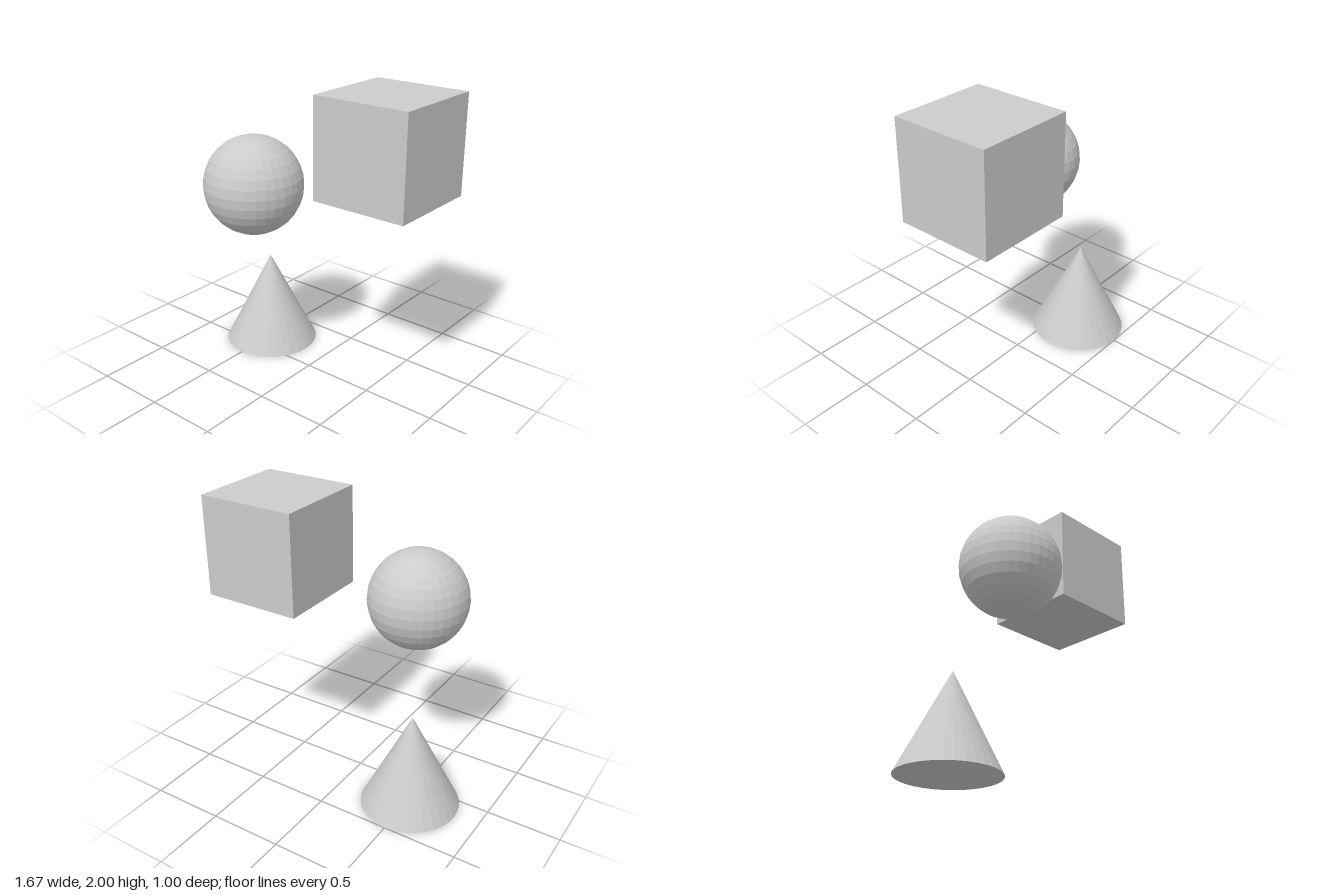
import * as THREE from 'three';

// Half-extent shared by all three solids
const R = 1 / 3;

export function createModel() {
  const group = new THREE.Group();
  group.name = 'primitiveSolids';
  const material = new THREE.MeshStandardMaterial({ color: 0xcccccc, flatShading: true });

  const add = (name, geometry, x, y, z) => {
    const mesh = new THREE.Mesh(geometry, material);
    mesh.name = name;
    mesh.position.set(x, y, z);
    group.add(mesh);
  };

  // Cone standing on the ground
  add('cone', new THREE.ConeGeometry(R, 2 * R, 32), -R * 1.5, R, -R / 2);
  // Faceted sphere floating above and in front of the cone
  add('sphere', new THREE.SphereGeometry(R, 32, 16), -R, 4 * R, R / 2);
  // Cube at the top, on the model's left
  add('cube', new THREE.BoxGeometry(2 * R, 2 * R, 2 * R), R * 1.5, 5 * R, -R / 2);

  return group;
}
